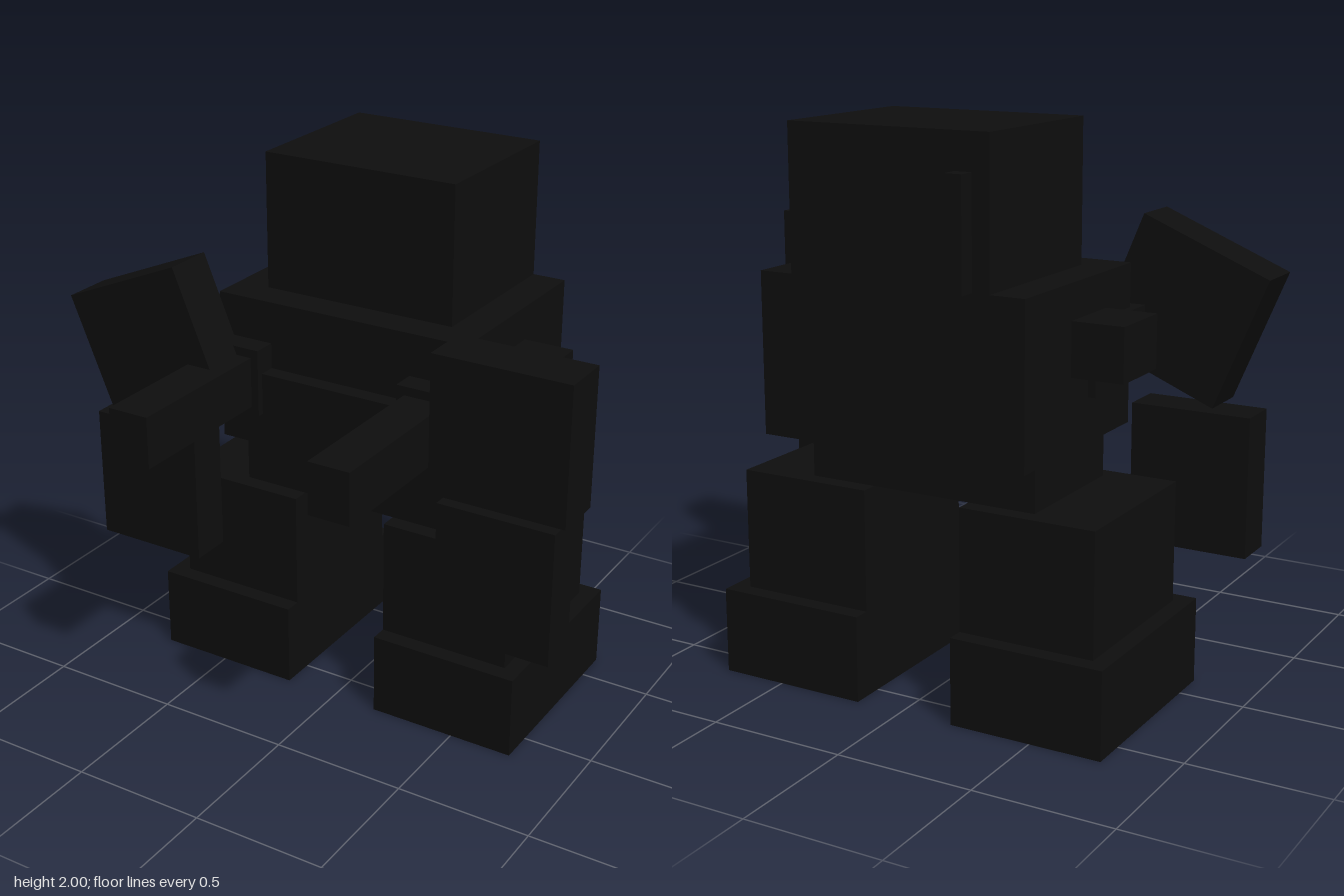
import * as THREE from 'three';

export function createModel() {
  const model = new THREE.Group();
  const black = new THREE.MeshStandardMaterial({ color: 0x0e0e0e });
  black.name = 'black';
  const CX = -0.0125; // mirror plane of the body

  // box from its limits on each axis
  function box(name, [x0, x1], [y0, y1], [z0, z1], parent = model) {
    const mesh = new THREE.Mesh(new THREE.BoxGeometry(x1 - x0, y1 - y0, z1 - z0), black);
    mesh.position.set((x0 + x1) / 2, (y0 + y1) / 2, (z0 + z1) / 2);
    mesh.name = name;
    parent.add(mesh);
    return mesh;
  }
  // box centred on the mirror plane
  const middle = (name, half, y, z) => box(name, [CX - half, CX + half], y, z);

  // head, torso and hips
  middle('head', 0.375, [1.5, 2], [-0.6875, -0.0625]);
  middle('torso', 0.5, [0.9375, 1.5], [-0.6875, 0.0625]);
  middle('chestPlate', 0.305, [1.0, 1.25], [0.0625, 0.125]);
  middle('hips', 0.4375, [0.75, 0.9375], [-0.5, 0]);
  box('antenna', [-0.325, -0.2625], [1.5, 1.875], [-0.75, -0.6875]);

  // limbs, mirrored to both sides
  for (const side of [1, -1]) {
    const label = side > 0 ? 'left' : 'right';
    const limb = (name, a, b, y, z) => {
      const xs = [CX + side * a, CX + side * b].sort((p, q) => p - q);
      return box(label + name, xs, y, z);
    };
    limb('Leg', 0.1875, 0.6875, [0.3125, 0.75], [-0.5625, 0.0625]);
    limb('Foot', 0.1875, 0.75, [0, 0.3125], [-0.625, 0.125]);
    limb('Shoulder', 0.5, 0.6875, [1.1875, 1.375], [-0.375, -0.125]);
    limb('Forearm', 0.2825, 0.5275, [1.095, 1.345], [-0.25, 0.15]);
    limb('Barrel', 0.3125, 0.4675, [1.125, 1.3125], [0.15, 0.75]);
    limb('LowerShield', 0.5, 0.9375, [0.5, 1], [0.095, 0.25]);
  }

  // upper shields, the right one tilted
  box('leftUpperShield', [0.4875, 0.9875], [1.0625, 1.5625], [0.125, 0.3125]);
  const tilted = box('rightUpperShield', [-0.915, -0.415], [1.085, 1.585], [0.125, 0.3125]);
  tilted.rotation.z = Math.PI / 8;

  return model;
}
